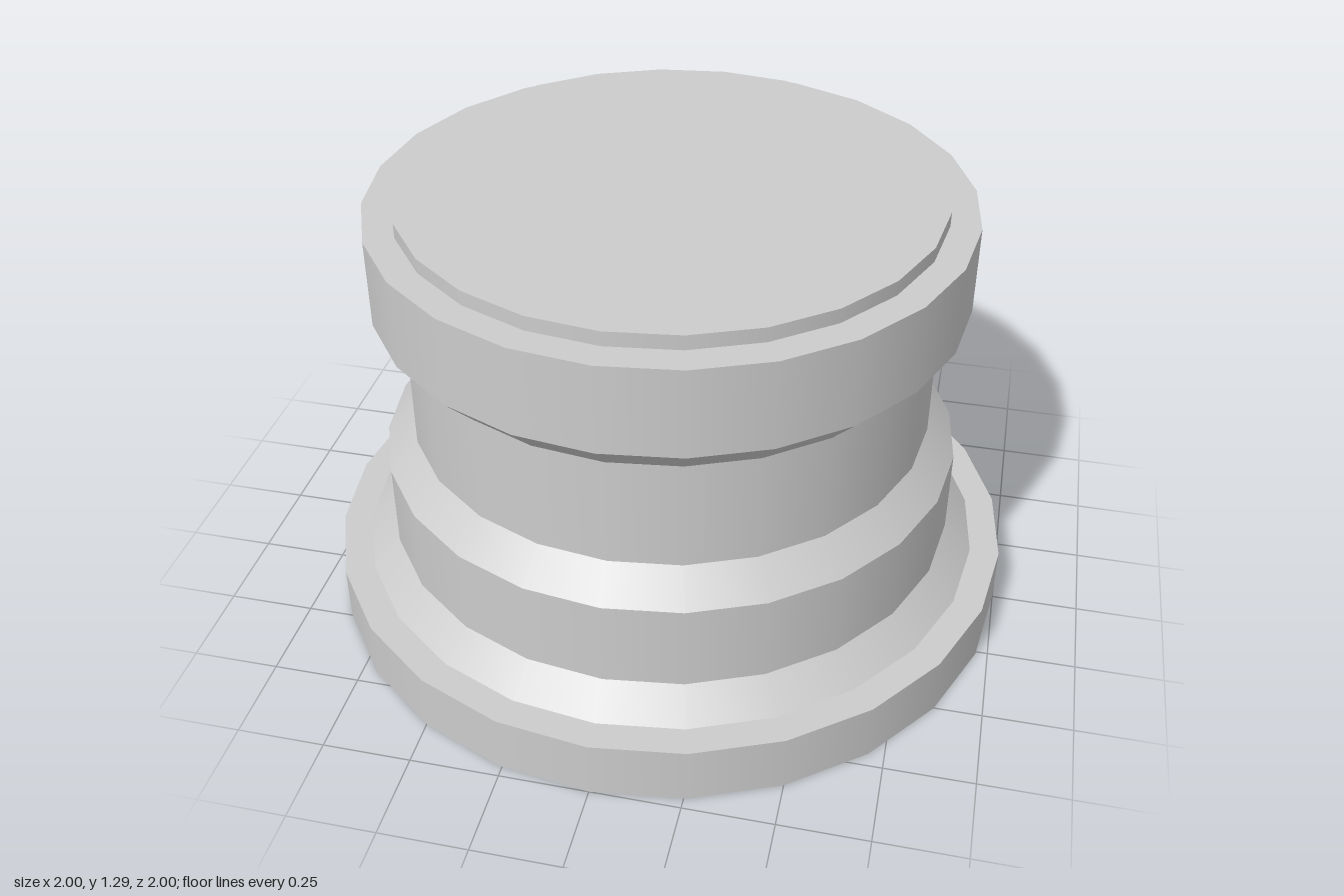
import * as THREE from 'three';
import { mergeGeometries } from 'three/addons/utils/BufferGeometryUtils.js';

const SIDES = 24;
const material = new THREE.MeshStandardMaterial({ color: 0xcccccc });

// Turned part: one band per profile step, smooth around and sharp between bands.
// Profiles are [radius, height], running from the bottom to the top.
function turned(name, profile) {
  const points = profile.map(([r, y]) => new THREE.Vector2(r, y));
  const bands = [];
  for (let i = 0; i < points.length - 1; i++) {
    bands.push(new THREE.LatheGeometry([points[i], points[i + 1]], SIDES));
  }
  const mesh = new THREE.Mesh(mergeGeometries(bands), material);
  mesh.name = name;
  return mesh;
}

export function createModel() {
  const group = new THREE.Group();
  group.name = 'turnedPedestal';
  group.add(
    // Wide foot with closed underside and flat rim
    turned('base', [[0, 0], [1, 0], [1, 0.17], [0.915, 0.17]]),
    // Bevelled collar rising from the foot
    turned('lowerCollar', [[0.915, 0.17], [0.833, 0.252], [0.833, 0.505], [0.75, 0.593]]),
    // Narrow waist
    turned('neck', [[0.75, 0.593], [0.75, 0.912]]),
    // Flared collar with a flat rim
    turned('upperCollar', [[0.75, 0.912], [0.833, 1.0], [0.833, 1.252], [0.75, 1.252]]),
    // Slightly raised top disc
    turned('topDisc', [[0.75, 1.252], [0.75, 1.293], [0, 1.293]])
  );
  return group;
}
